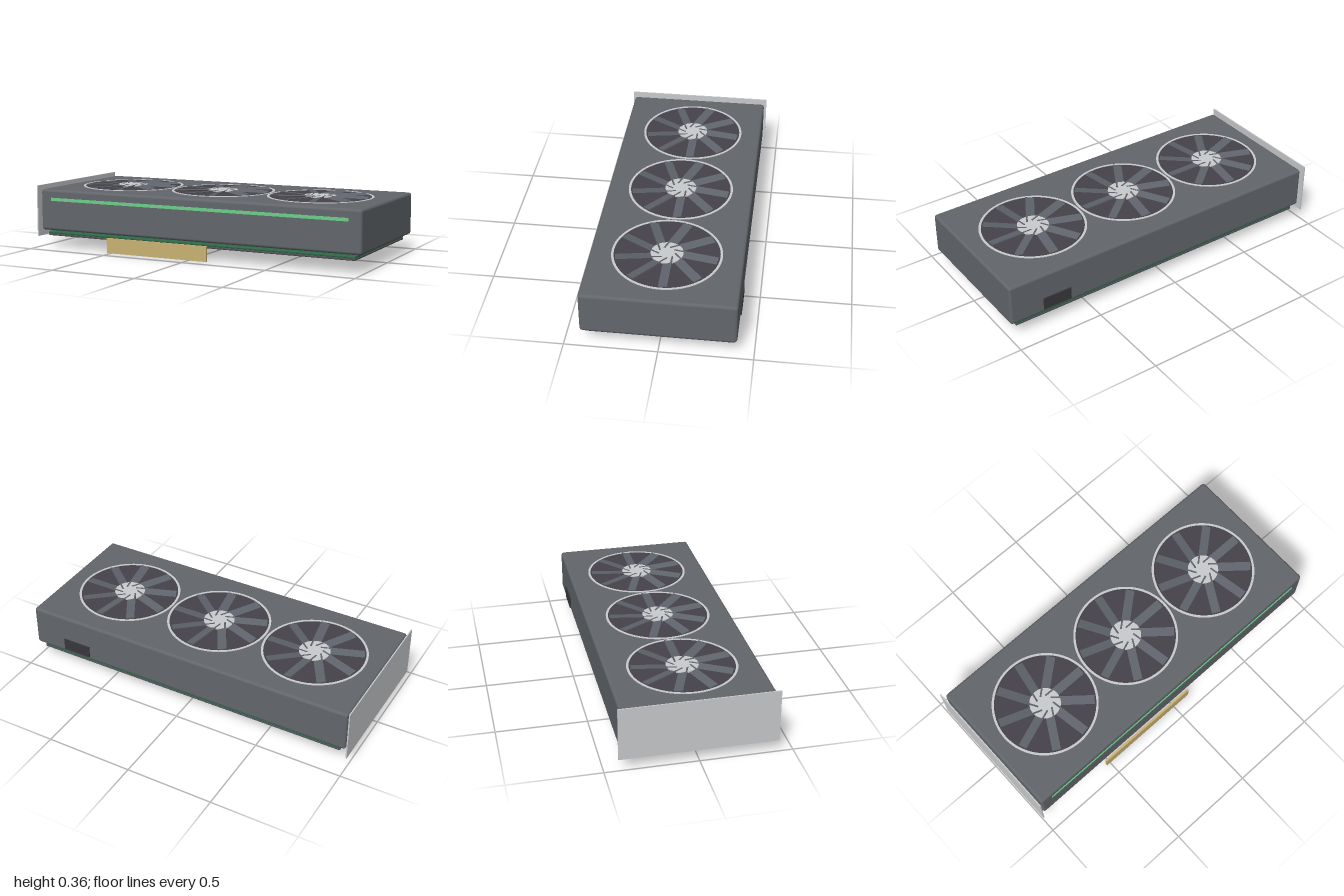
import * as THREE from 'three';
import { RoundedBoxGeometry } from 'three/addons/geometries/RoundedBoxGeometry.js';

function material(name, color) {
  const m = new THREE.MeshStandardMaterial({ color });
  m.name = name;
  return m;
}

export function createModel() {
  const mats = {
    shroud: material('slate grey', 0x62666b),
    well: material('dark charcoal', 0x454349),
    blade: material('blade grey', 0x5f636b),
    silver: material('silver', 0xc8cacc),
    light: material('light green', 0x6ccf8a),
    board: material('board green', 0x2f6a48),
    plate: material('backplate grey', 0x505357),
    gold: material('contact gold', 0xc9b273),
    socket: material('socket black', 0x38373b),
  };
  const model = new THREE.Group();
  model.name = 'graphicsCard';

  function add(parent, name, geometry, mat, x = 0, y = 0, z = 0) {
    const mesh = new THREE.Mesh(geometry, mat);
    mesh.name = name;
    mesh.position.set(x, y, z);
    parent.add(mesh);
    return mesh;
  }

  // Box given by its minimum and maximum corners, optionally rounded
  function block(name, mat, [x0, y0, z0], [x1, y1, z1], radius = 0) {
    const size = [x1 - x0, y1 - y0, z1 - z0];
    const geometry = radius
      ? new RoundedBoxGeometry(...size, 3, radius)
      : new THREE.BoxGeometry(...size);
    return add(model, name, geometry, mat, (x0 + x1) / 2, (y0 + y1) / 2, (z0 + z1) / 2);
  }

  // Body, circuit board and fittings
  block('shroud', mats.shroud, [-0.98, 0.102, -0.411], [1.0, 0.341, 0.411], 0.016);
  block('circuitBoard', mats.board, [-0.945, 0.081, -0.391], [0.96, 0.093, 0.391], 0.004);
  block('backplate', mats.plate, [-0.945, 0.069, -0.391], [0.96, 0.081, 0.391], 0.004);
  block('mountingBracket', mats.silver, [-1.0, 0.065, -0.425], [-0.993, 0.362, 0.425]);
  block('edgeConnector', mats.gold, [-0.525, 0, 0.413], [0.112, 0.086, 0.425]);
  block('lightStrip', mats.light, [-0.91, 0.276, 0.406], [0.928, 0.294, 0.415]);
  block('powerSocket', mats.socket, [0.63, 0.123, -0.418], [0.8, 0.193, -0.405]);

  // Fans: dark well, silver rim, hub and tilted blades
  const rimShape = new THREE.Shape().absarc(0, 0, 0.297, 0, Math.PI * 2);
  rimShape.holes.push(new THREE.Path().absarc(0, 0, 0.284, 0, Math.PI * 2, true));
  const rimGeometry = new THREE.ExtrudeGeometry(rimShape, {
    depth: 0.008, bevelEnabled: false, curveSegments: 32,
  }).rotateX(-Math.PI / 2);
  const wellGeometry = new THREE.CylinderGeometry(0.286, 0.286, 0.006, 64);
  const hubGeometry = new THREE.CylinderGeometry(0.088, 0.088, 0.012, 32);
  const bladeGeometry = new THREE.BoxGeometry(0.245, 0.006, 0.075)
    .rotateX(0.2)
    .translate(0.1525, 0, 0);

  const bladeCount = 9;
  [-0.598, 0.004, 0.606].forEach((x) => {
    const fan = new THREE.Group();
    fan.name = 'fan';
    fan.position.x = x;
    add(fan, 'fanWell', wellGeometry, mats.well, 0, 0.339, 0);
    add(fan, 'fanRim', rimGeometry, mats.silver, 0, 0.336, 0);
    add(fan, 'fanHub', hubGeometry, mats.silver, 0, 0.344, 0);
    for (let i = 0; i < bladeCount; i++) {
      const blade = add(fan, 'fanBlade', bladeGeometry, mats.blade, 0, 0.3415, 0);
      blade.rotation.y = (i / bladeCount) * Math.PI * 2;
    }
    model.add(fan);
  });

  return model;
}
